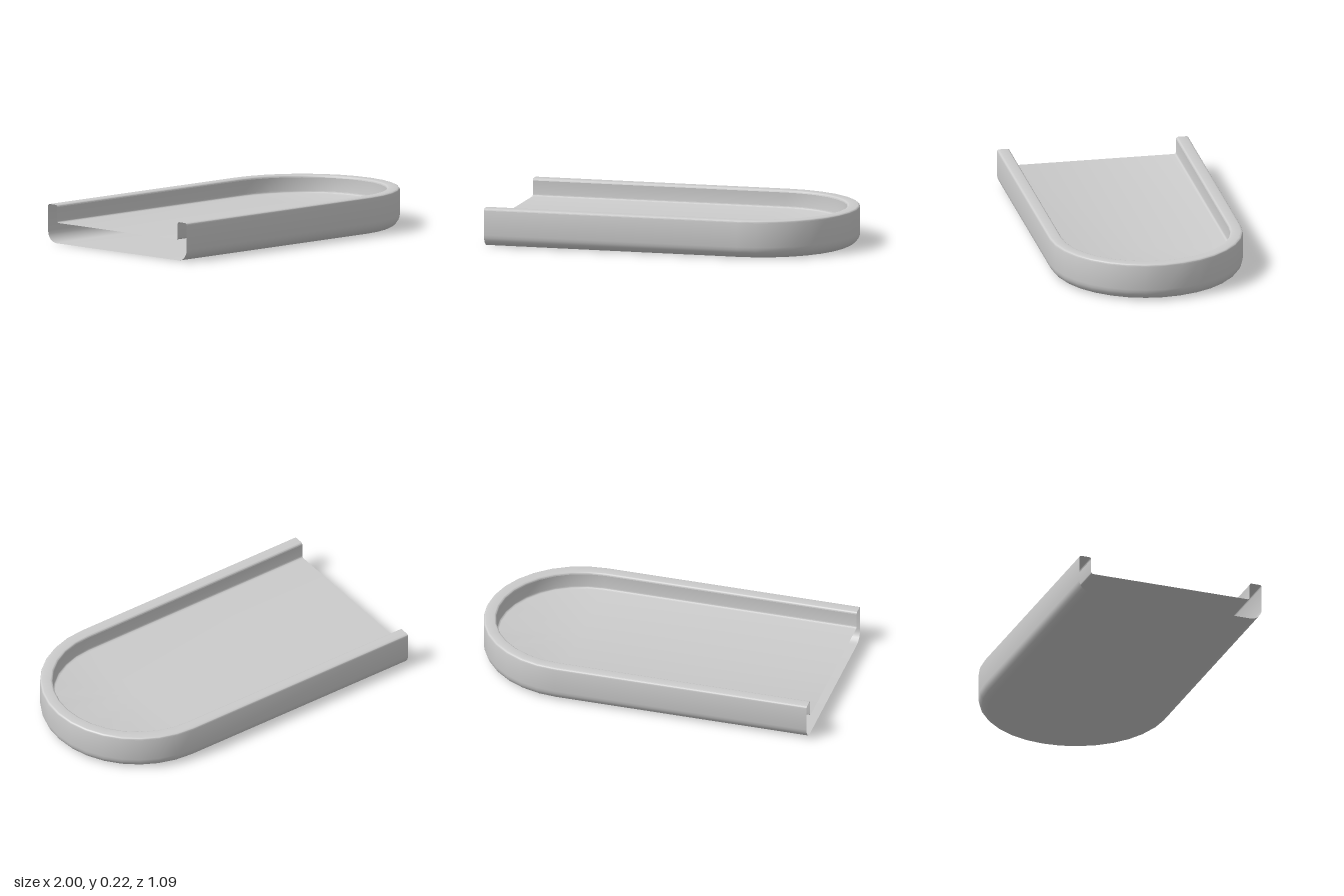
import * as THREE from 'three';
import { toCreasedNormals } from 'three/addons/utils/BufferGeometryUtils.js';

const R = 0.543, RIM = 0.472, H = 0.215, FLOOR = 0.115, BEND = 1 - R;

// Quarter-round corner as [radius, height] points
function fillet(cx, cy, r, from, to, steps = 4) {
  return Array.from({ length: steps + 1 }, (_, i) => {
    const a = THREE.MathUtils.degToRad(from + (to - from) * i / steps);
    return [cx + r * Math.cos(a), cy + r * Math.sin(a)];
  });
}

// Sweep a [radius, height] profile along the U-shaped plan
function sweep(profile, arcSegments) {
  const stations = [[-1, Math.PI / 2]];
  for (let i = 0; i <= arcSegments; i++) {
    stations.push([BEND, Math.PI / 2 - Math.PI * i / arcSegments]);
  }
  stations.push([-1, -Math.PI / 2]);

  const positions = [], index = [], n = profile.length;
  for (const [x, a] of stations) {
    for (const [r, y] of profile) positions.push(x + r * Math.cos(a), y, r * Math.sin(a));
  }
  for (let i = 0; i < stations.length - 1; i++) {
    for (let j = 0; j < n - 1; j++) {
      const a = i * n + j, b = a + n;
      index.push(a, b, b + 1, a, b + 1, a + 1);
    }
  }
  const geometry = new THREE.BufferGeometry();
  geometry.setAttribute('position', new THREE.Float32BufferAttribute(positions, 3));
  geometry.setIndex(index);
  return toCreasedNormals(geometry, Math.PI / 6);
}

export function createModel() {
  const material = new THREE.MeshStandardMaterial({ color: 0xcccccc, side: THREE.DoubleSide });
  const group = new THREE.Group();
  group.name = 'tray';

  const b = 0.065, t = 0.012;
  // Underside, rounded lower edge, outer wall and rim
  const outer = [
    [0, 0],
    ...fillet(R - b, b, b, -90, 0, 6),
    ...fillet(R - t, H - t, t, 0, 90),
    ...fillet(RIM + t, H - t, t, 90, 180),
  ];
  // Inner wall down to the raised floor, open at the straight end
  const inner = [
    [RIM, H - t],
    ...fillet(RIM - t, FLOOR + t, t, 0, -90),
    [0, FLOOR],
  ];

  for (const [name, profile] of [['outerShell', outer], ['innerWallAndFloor', inner]]) {
    const mesh = new THREE.Mesh(sweep(profile, 16), material);
    mesh.name = name;
    group.add(mesh);
  }
  return group;
}
